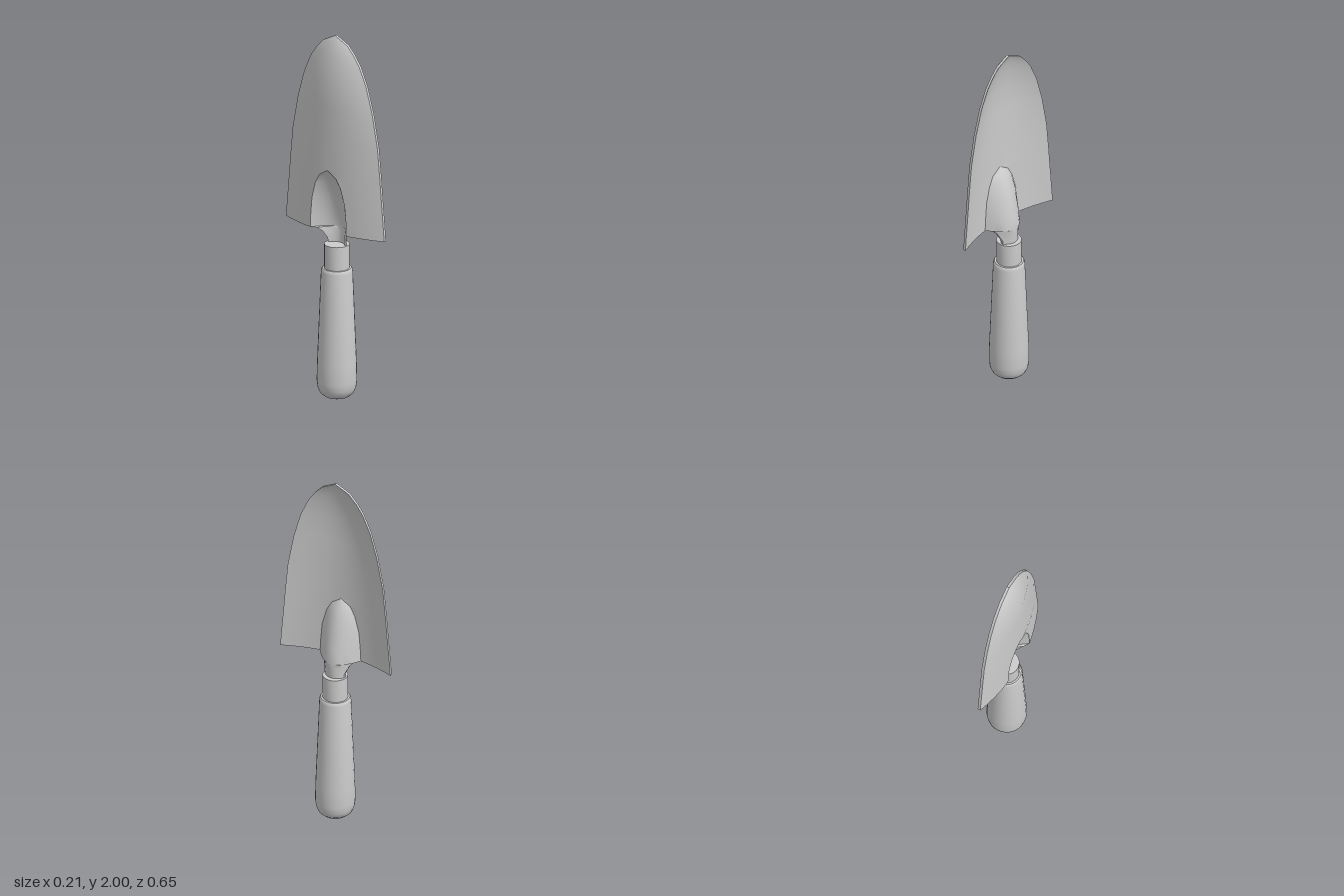
import * as THREE from 'three';
import { toCreasedNormals } from 'three/addons/utils/BufferGeometryUtils.js';

const material = new THREE.MeshStandardMaterial({ color: 0xcccccc });
const THICK = 0.015;
const INNER = 5; // columns per half of the pressed socket
const OUTER = 6; // columns per side of the blade

// blade rows: y, half width, dish depth, socket half width, socket ridge x
const BLADE = [
  [0.935, 0.325, 0.065, 0.12, 0.045],
  [1.0, 0.32, 0.065, 0.117, 0.033],
  [1.1, 0.311, 0.065, 0.108, 0.01],
  [1.19, 0.303, 0.065, 0.083, -0.016],
  [1.24, 0.299, 0.065, 0.055, -0.04],
  [1.275, 0.296, 0.065, 0, -0.065],
  [1.44, 0.28, 0.065, 0, 0],
  [1.62, 0.245, 0.065, 0, 0],
  [1.76, 0.205, 0.063, 0, 0],
  [1.86, 0.16, 0.046, 0, 0],
  [1.915, 0.122, 0.034, 0, 0],
  [1.96, 0.08, 0.019, 0, 0],
  [2.0, 0, 0, 0, 0],
];

// neck rows below the blade: y, half width, edge x, ridge x
const NECK = [
  [0.8, 0.055, 0.012, 0.04],
  [0.87, 0.057, 0.01, 0.042],
  [0.91, 0.073, -0.012, 0.045],
  [0.932, 0.092, -0.035, 0.045],
];

// arched section of the socket and neck
function archRow(y, half, edge, ridge) {
  const row = [];
  for (let i = -INNER; i <= INNER; i++) {
    const s = i / INNER;
    row.push([edge + (ridge - edge) * (1 - s * s), y, s * half]);
  }
  return row;
}

// dished blade section with the socket arch in the middle
function bladeRow([y, w, d, half, ridge]) {
  const dish = (z) => (w > 0 ? -d * (1 - (z / w) ** 2) : 0);
  const side = [];
  for (let i = OUTER; i > 0; i--) {
    const z = half + ((w - half) * i) / OUTER;
    side.push([dish(z), y, z]);
  }
  const edge = dish(half);
  return [
    ...side.map(([x, h, z]) => [x, h, -z]),
    ...archRow(y, half, edge, half > 0 ? ridge : edge),
    ...side.reverse(),
  ];
}

function sheetGeometry() {
  const pos = [];
  const v = (p) => new THREE.Vector3(...p);
  const tri = (a, b, c) => {
    const area = v(b).sub(v(a)).cross(v(c).sub(v(a))).length();
    if (area > 1e-8) pos.push(...a, ...b, ...c);
  };
  const quad = (a, b, c, d) => { tri(a, b, c); tri(a, c, d); };
  const back = ([x, y, z]) => [x - THICK, y, z];
  const wall = (p, q) => quad(p, q, back(q), back(p));

  // both faces plus the rim of a grid of rows
  const addSheet = (rows, hasBottomWall) => {
    const last = rows[0].length - 1;
    for (let i = 0; i < rows.length - 1; i++) {
      for (let j = 0; j < last; j++) {
        const a = rows[i][j], b = rows[i + 1][j];
        const c = rows[i + 1][j + 1], d = rows[i][j + 1];
        quad(a, b, c, d);
        quad(back(d), back(c), back(b), back(a));
        if (j === 0) wall(b, a);
        if (j === last - 1) wall(d, c);
        if (i === 0 && hasBottomWall(j)) wall(a, d);
      }
    }
  };
  const blade = BLADE.map(bladeRow);
  const neck = NECK.map((r) => archRow(...r));
  neck.push(blade[0].slice(OUTER, OUTER + 2 * INNER + 1));
  addSheet(blade, (j) => j < OUTER || j >= OUTER + 2 * INNER);
  addSheet(neck, () => true);

  const geo = new THREE.BufferGeometry();
  geo.setAttribute('position', new THREE.Float32BufferAttribute(pos, 3));
  return toCreasedNormals(geo, 0.6);
}

function lathe(points) {
  const geo = new THREE.LatheGeometry(points.map(([r, y]) => new THREE.Vector2(r, y)), 28);
  return toCreasedNormals(geo, 0.6);
}

export function createModel() {
  const group = new THREE.Group();
  const add = (name, geo) => {
    const mesh = new THREE.Mesh(geo, material);
    mesh.name = name;
    group.add(mesh);
  };
  // tapered grip with a rounded butt
  add('handle', lathe([
    [0, 0], [0.035, 0.004], [0.065, 0.015], [0.088, 0.035], [0.1, 0.062],
    [0.105, 0.1], [0.103, 0.2], [0.083, 0.7], [0.081, 0.714], [0.076, 0.72], [0, 0.72],
  ]));
  // collar holding the neck
  add('ferrule', lathe([[0.066, 0.7], [0.066, 0.85], [0, 0.85]]));
  // pressed sheet: dished blade, socket and neck
  add('blade', sheetGeometry());
  return group;
}
